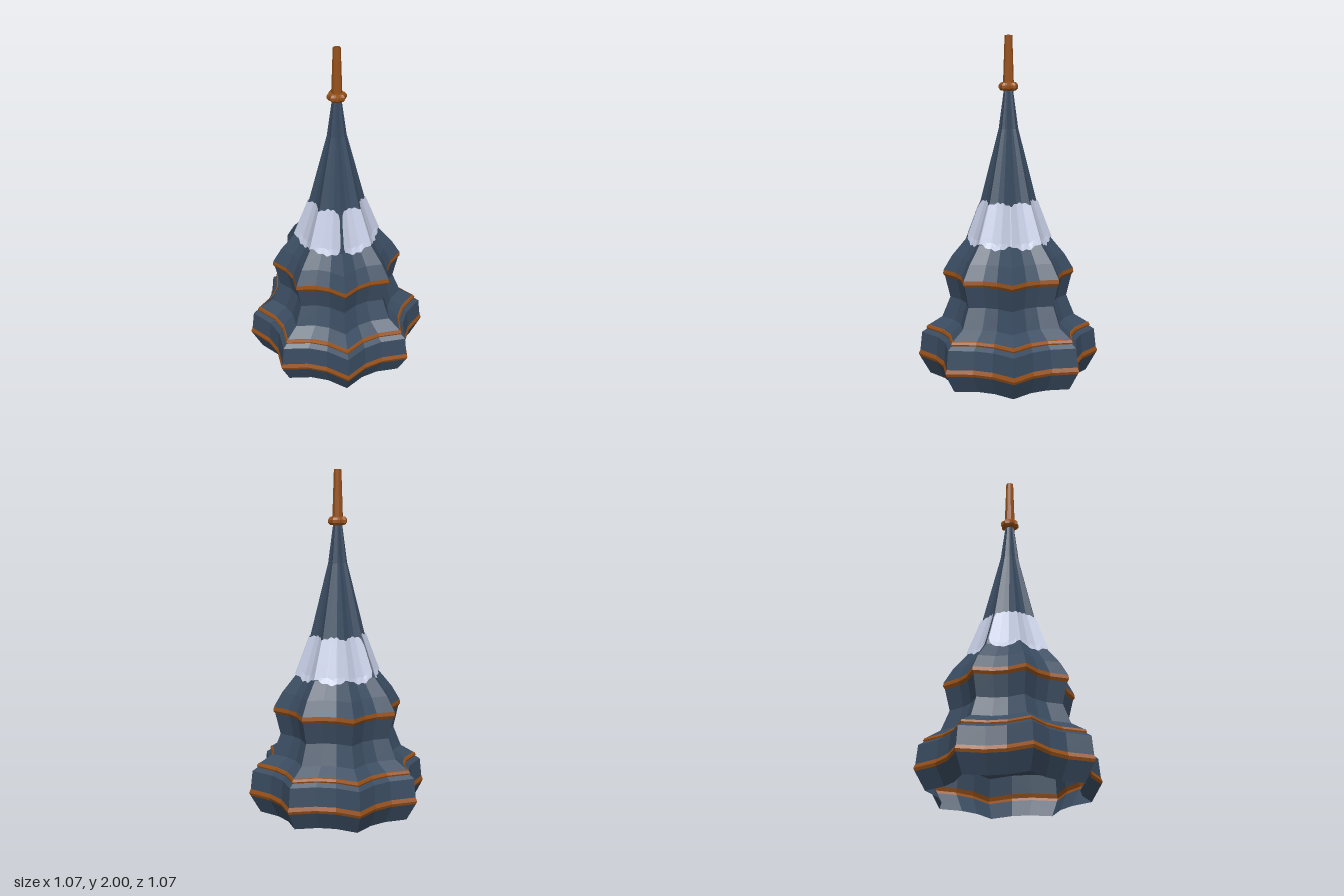
import * as THREE from 'three';

const flat = (name, color) => {
  const m = new THREE.MeshStandardMaterial({ color, side: THREE.DoubleSide, flatShading: true });
  m.name = name;
  return m;
};

const TIPS = 8, SEGMENTS = 24; // three facets between neighbouring ridges
const VALLEY = 0.845;          // valley radius relative to ridge radius

// Corner k of the star outline at a given ridge radius
function corner(k, r, valley) {
  const a = (k / SEGMENTS) * Math.PI * 2;
  const s = k % 3 === 0 ? r : r * valley;
  return [Math.sin(a) * s, Math.cos(a) * s];
}

// Point on the star outline; fractional k lies on the straight facet
function outline(k, r, valley = VALLEY) {
  const i = Math.floor(k), t = k - i;
  const [ax, az] = corner(i, r, valley), [bx, bz] = corner(i + 1, r, valley);
  return [ax + (bx - ax) * t, az + (bz - az) * t];
}

// Grid surface from point(column, row), faces looking outwards
function grid(cols, rows, point) {
  const pos = [], index = [];
  for (let j = 0; j <= rows; j++) for (let i = 0; i <= cols; i++) pos.push(...point(i, j));
  for (let j = 0; j < rows; j++) for (let i = 0; i < cols; i++) {
    const a = j * (cols + 1) + i, d = a + cols + 1;
    index.push(a, a + 1, d + 1, a, d + 1, d);
  }
  const g = new THREE.BufferGeometry();
  g.setAttribute('position', new THREE.Float32BufferAttribute(pos, 3));
  g.setIndex(index);
  g.computeVertexNormals();
  return g;
}

// Star-shaped shell through a profile of [ridge radius, height]
function starShell(profile, valley = VALLEY) {
  return grid(SEGMENTS, profile.length - 1, (i, j) => {
    const [r, y] = profile[j];
    const [x, z] = outline(i, r, valley);
    return [x, y, z];
  });
}

const UPPER = [[0.382, 0.635], [0.332, 0.72], [0.25, 0.82], [0.162, 1.05], [0.056, 1.47], [0.026, 1.695]];

// Ridge radius of the upper roof at height y
function roofRadius(y) {
  for (let i = 1; i < UPPER.length; i++) {
    const [r0, y0] = UPPER[i - 1], [r1, y1] = UPPER[i];
    if (y <= y1) return r0 + (r1 - r0) * (y - y0) / (y1 - y0);
  }
  return UPPER[UPPER.length - 1][0];
}

// Thin snow patch lying on the roof between two outline positions
function snowPatch(k0, k1) {
  const cols = Math.round((k1 - k0) * 8), rows = 8;
  return grid(cols, rows, (i, j) => {
    const k = k0 + (k1 - k0) * i / cols;
    const ridge = Math.abs(Math.cos(k * Math.PI / 3)) ** 3; // 1 on ridges, 0 in valleys
    const edge = Math.min(k - k0, k1 - k) / 0.35;           // rounded patch corners
    const round = edge < 1 ? 0.035 * (1 - Math.sqrt(1 - (1 - edge) ** 2)) : 0;
    const ripple = 0.004 * Math.sin(k * 7.3);
    const low = 0.797 + 0.028 * ridge + ripple + round;
    const high = 1.055 - 0.012 * ridge + ripple - round;
    const y = low + (high - low) * j / rows;
    const [x, z] = outline(k, roofRadius(y) + 0.008);
    return [x, y, z];
  });
}

export function createModel() {
  const slate = flat('slate blue', 0x3a4c61);
  const copper = flat('copper orange', 0x97511a);
  const snow = flat('pale snow', 0xc4cbe2);

  const model = new THREE.Group();
  model.name = 'spireRoof';
  const add = (name, geometry, material) => {
    const mesh = new THREE.Mesh(geometry, material);
    mesh.name = name;
    model.add(mesh);
  };

  // Slate tiers, open underneath
  add('baseSkirt', starShell([[0.468, 0], [0.528, 0.105]]), slate);
  add('lowerTier', starShell([[0.526, 0.145], [0.514, 0.255], [0.484, 0.275]]), slate);
  add('waist', starShell([[0.472, 0.3], [0.392, 0.35], [0.344, 0.47], [0.374, 0.595]]), slate);
  add('upperRoof', starShell(UPPER), slate);

  // Copper trims
  add('baseTrim', starShell([[0.528, 0.105], [0.536, 0.122], [0.526, 0.145]]), copper);
  add('lowerTrim', starShell([[0.484, 0.275], [0.488, 0.284], [0.48, 0.298], [0.472, 0.3]]), copper);
  add('waistTrim', starShell([[0.374, 0.595], [0.386, 0.612], [0.382, 0.635]]), copper);

  // Collar and hollow finial
  add('collar', starShell([[0.026, 1.685], [0.045, 1.687], [0.056, 1.7], [0.056, 1.717], [0.045, 1.732], [0.028, 1.735]]), copper);
  add('finial', starShell([[0.031, 1.73], [0.022, 2]], 0.94), copper);

  // Snow, parted at the back ridge and at the front left ridge
  add('snowRight', snowPatch(-2.8, 11.85), snow);
  add('snowLeft', snowPatch(12.15, 20.85), snow);

  return model;
}
